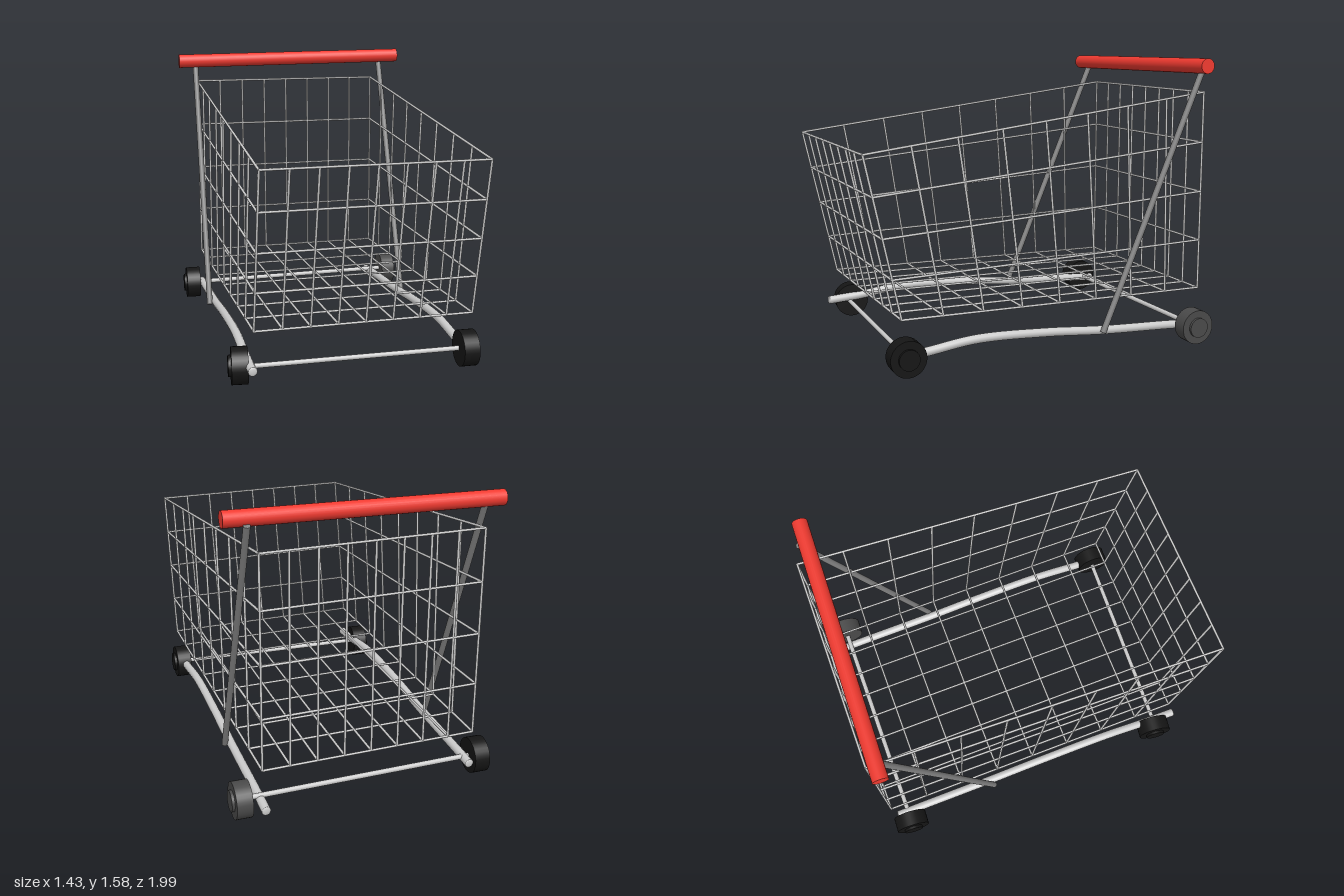
import * as THREE from 'three';

const V = (x, y, z) => new THREE.Vector3(x, y, z);

export function createModel() {
  const cart = new THREE.Group();
  cart.name = 'shoppingCart';
  const grey = new THREE.MeshStandardMaterial({ color: 0xcccccc });
  const steel = new THREE.MeshStandardMaterial({ color: 0x808080 });
  const red = new THREE.MeshStandardMaterial({ color: 0xf03a30 });
  const rubber = new THREE.MeshStandardMaterial({ color: 0x151515 });
  const wornRubber = new THREE.MeshStandardMaterial({ color: 0x4a4a4a });

  // Straight round bar between two points
  function bar(name, a, b, radius, material, parent = cart, sides = 16) {
    const mesh = new THREE.Mesh(
      new THREE.CylinderGeometry(radius, radius, a.distanceTo(b), sides), material);
    mesh.position.copy(a).add(b).multiplyScalar(0.5);
    mesh.quaternion.setFromUnitVectors(V(0, 1, 0), b.clone().sub(a).normalize());
    mesh.name = name;
    parent.add(mesh);
  }

  // Wire panel: bars in both directions across a four-cornered patch
  function wirePanel(name, a, b, c, d, across, up) {
    const panel = new THREE.Group();
    panel.name = name;
    for (let i = 0; i <= across; i++) {
      const t = i / across;
      bar('wire', a.clone().lerp(b, t), d.clone().lerp(c, t), 0.0065, grey, panel, 8);
    }
    for (let j = 0; j <= up; j++) {
      const t = j / up;
      bar('wire', a.clone().lerp(d, t), b.clone().lerp(c, t), 0.0065, grey, panel, 8);
    }
    cart.add(panel);
  }

  // Basket, open at the top
  const xs = [-0.583, 0.566];
  const [bf, bb, tf, tb] = [[0.322, 0.812], [0.288, -0.962], [1.153, 0.993], [1.395, -0.962]]
    .map(([y, z]) => xs.map((x) => V(x, y, z)));
  wirePanel('basketFront', bf[0], bf[1], tf[1], tf[0], 8, 4);
  wirePanel('basketBack', bb[0], bb[1], tb[1], tb[0], 8, 4);
  wirePanel('basketFloor', bb[0], bb[1], bf[1], bf[0], 8, 8);
  wirePanel('basketRightSide', bb[0], bf[0], tf[0], tb[0], 8, 4);
  wirePanel('basketLeftSide', bb[1], bf[1], tf[1], tb[1], 8, 4);

  // Push handle and its slanted posts
  bar('handle', V(-0.703, 1.524, -0.908), V(0.713, 1.543, -0.875), 0.041, red, cart, 24);
  bar('rightPost', V(-0.6, 1.515, -0.918), V(-0.629, 0.11, -0.335), 0.017, steel);
  bar('leftPost', V(0.605, 1.515, -0.918), V(0.582, 0.11, -0.335), 0.017, steel);

  // Curved base rails with closed ends
  function rail(name, points) {
    const curve = new THREE.CatmullRomCurve3(points);
    const mesh = new THREE.Mesh(new THREE.TubeGeometry(curve, 40, 0.024, 12), grey);
    mesh.name = name;
    cart.add(mesh);
    for (const p of [points[0], points[points.length - 1]]) {
      const cap = new THREE.Mesh(new THREE.SphereGeometry(0.024, 12, 8), grey);
      cap.position.copy(p);
      cap.scale.z = 0.3;
      cap.name = 'railEnd';
      cart.add(cap);
    }
  }
  rail('leftRail', [V(0.54, 0.12, 0.84), V(0.542, 0.133, 0.68), V(0.544, 0.163, 0.4),
    V(0.547, 0.146, 0), V(0.55, 0.114, -0.35), V(0.554, 0.088, -0.8), V(0.556, 0.073, -0.985)]);
  rail('rightRail', [V(-0.6, 0.135, 0.86), V(-0.6, 0.145, 0.68), V(-0.598, 0.174, 0.4),
    V(-0.596, 0.158, 0), V(-0.594, 0.124, -0.35), V(-0.591, 0.096, -0.8), V(-0.59, 0.085, -0.94)]);

  // Axle bars
  bar('frontAxle', V(-0.62, 0.115, 0.733), V(0.55, 0.122, 0.782), 0.013, grey);
  bar('backAxle', V(-0.64, 0.096, -0.88), V(0.64, 0.1, -0.88), 0.014, grey);

  // Wheels: plain tyre with a raised hub on the outer face
  function wheel(name, x, y, z, yaw, material) {
    const group = new THREE.Group();
    group.name = name;
    const out = Math.sign(x);
    bar('tyre', V(-0.042, 0, 0), V(0.042, 0, 0), 0.096, material, group, 32);
    bar('hub', V(0, 0, 0), V(out * 0.057, 0, 0), 0.055, material, group, 32);
    group.position.set(x, y, z);
    group.rotation.y = yaw;
    cart.add(group);
  }
  wheel('frontLeftWheel', 0.55, 0.122, 0.785, -0.03, rubber);
  wheel('frontRightWheel', -0.641, 0.118, 0.715, -0.12, rubber);
  wheel('backLeftWheel', 0.655, 0.099, -0.88, -0.03, wornRubber);
  wheel('backRightWheel', -0.657, 0.097, -0.88, -0.05, rubber);

  return cart;
}
